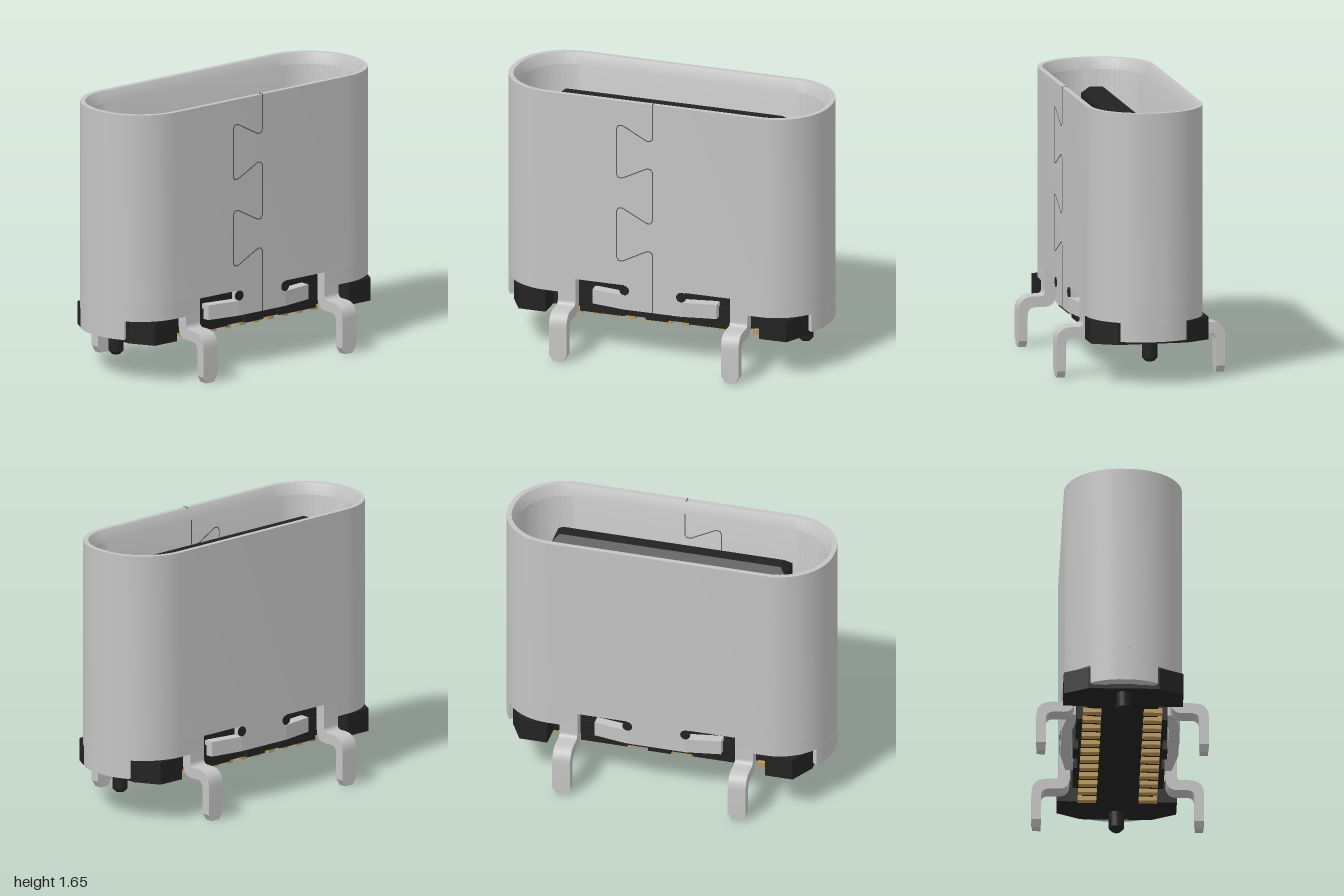
import * as THREE from 'three';
import { toCreasedNormals } from 'three/addons/utils/BufferGeometryUtils.js';

const mat = (name, color) => {
  const m = new THREE.MeshStandardMaterial({ color });
  m.name = name;
  return m;
};

// Point and outward normal on the shell outline, a rounded rectangle in x,z
function outlinePoint(angle) {
  const c = Math.cos(angle), s = Math.sin(angle);
  const sx = Math.abs(c) < 1e-6 ? 0 : Math.sign(c), sz = Math.abs(s) < 1e-6 ? 0 : Math.sign(s);
  return { x: sx * 0.67 + 0.33 * c, z: sz * 0.02 + 0.33 * s, nx: c, nz: s };
}

// Sweeps a section of [inward offset, height] points along an outline
function sweep(path, section, closed) {
  const v = [], n = section.length, count = path.length;
  const at = (i, j) => {
    const p = path[i % count], [d, y] = section[j % n];
    return [p.x - p.nx * d, y, p.z - p.nz * d];
  };
  for (let i = 0; i < (closed ? count : count - 1); i++) {
    for (let j = 0; j < n; j++) {
      const a = at(i, j), b = at(i + 1, j), c = at(i + 1, j + 1), d = at(i, j + 1);
      v.push(...a, ...d, ...c, ...a, ...c, ...b);
    }
  }
  if (!closed) {
    for (let j = 1; j < n - 1; j++) {
      v.push(...at(0, 0), ...at(0, j + 1), ...at(0, j));
      v.push(...at(count - 1, 0), ...at(count - 1, j), ...at(count - 1, j + 1));
    }
  }
  const g = new THREE.BufferGeometry();
  g.setAttribute('position', new THREE.Float32BufferAttribute(v, 3));
  return toCreasedNormals(g, 0.5);
}

// Horizontal slab whose outline is one quadrant mirrored in x and z
function slab(quadrant, y0, y1) {
  const back = [...quadrant].reverse();
  const pts = [
    ...quadrant, ...back.map(([x, z]) => [-x, z]),
    ...quadrant.map(([x, z]) => [-x, -z]), ...back.map(([x, z]) => [x, -z]),
  ].map(([x, z]) => new THREE.Vector2(x, z));
  const g = new THREE.ExtrudeGeometry(new THREE.Shape(pts), { depth: y1 - y0, bevelEnabled: false });
  g.rotateX(-Math.PI / 2).translate(0, y0, 0);
  return toCreasedNormals(g, 0.5);
}

export function createModel() {
  const steel = mat('steel', 0xc4c4c4), plastic = mat('black plastic', 0x222222);
  const gold = mat('gold', 0xbf9a58), dark = mat('seam grey', 0x5a5a5a);
  const model = new THREE.Group();
  model.name = 'connector';
  const add = (name, geo, m, parent = model) => {
    const mesh = new THREE.Mesh(geo, m);
    mesh.name = name;
    parent.add(mesh);
    return mesh;
  };
  const box = (x0, x1, y0, y1, z0, z1) =>
    new THREE.BoxGeometry(x1 - x0, y1 - y0, z1 - z0).translate((x0 + x1) / 2, (y0 + y1) / 2, (z0 + z1) / 2);

  // Shell wall with a chamfered inner lip
  const loop = [];
  for (let q = 0; q < 4; q++) {
    for (let i = 0; i <= 12; i++) {
      const a = (q + Math.min(Math.max(i / 12, 1e-4), 1 - 1e-4)) * Math.PI / 2;
      loop.push(outlinePoint(a));
    }
  }
  add('shellWall', sweep(loop, [[0, 0.475], [0, 1.645], [0.03, 1.645], [0.065, 1.58], [0.065, 0.475]], true), steel);

  // Lower shell at each rounded end, with a tongue reaching further down
  for (const side of [0, Math.PI]) {
    const end = new THREE.Group();
    end.name = side ? 'rightShellEnd' : 'leftShellEnd';
    end.rotation.y = side;
    model.add(end);
    const arc = (half) => Array.from({ length: 25 }, (_, i) => outlinePoint((i / 12 - 1) * half));
    const wide = arc(Math.PI / 2 - 1e-4);
    wide.unshift({ x: 0.595, z: -0.35, nx: 0, nz: -1 });
    wide.push({ x: 0.595, z: 0.35, nx: 0, nz: 1 });
    const band = (y0, y1) => [[0, y0], [0, y1], [0.065, y1], [0.065, y0]];
    add('endBand', sweep(wide, band(0.382, 0.475), false), steel, end);
    add('endSkirt', sweep(arc(0.58), band(0.268, 0.382), false), steel, end);
  }

  // Leg profile in z,y, and its tapered tip
  const profile = new THREE.Shape();
  profile.moveTo(0.285, 0.475);
  profile.lineTo(0.285, 0.31);
  profile.quadraticCurveTo(0.287, 0.242, 0.35, 0.24);
  profile.lineTo(0.41, 0.24);
  profile.quadraticCurveTo(0.455, 0.24, 0.455, 0.19);
  profile.lineTo(0.455, 0.04);
  profile.lineTo(0.512, 0.04);
  profile.lineTo(0.512, 0.21);
  profile.quadraticCurveTo(0.512, 0.305, 0.42, 0.305);
  profile.lineTo(0.375, 0.305);
  profile.quadraticCurveTo(0.35, 0.308, 0.35, 0.335);
  profile.lineTo(0.35, 0.475);
  const legGeo = toCreasedNormals(
    new THREE.ExtrudeGeometry(profile, { depth: 0.11, bevelEnabled: false, curveSegments: 8 })
      .translate(0, 0, -0.055).rotateY(-Math.PI / 2), 0.5);
  const tip = new THREE.Shape([[-0.055, 0.04], [-0.03, 0], [0.03, 0], [0.055, 0.04]].map((p) => new THREE.Vector2(...p)));
  const tipGeo = new THREE.ExtrudeGeometry(tip, { depth: 0.05, bevelEnabled: false }).translate(0, 0, 0.458);

  // Front and back: legs, spring tab and solder contacts
  for (const turn of [0, Math.PI]) {
    const face = new THREE.Group();
    face.name = turn ? 'backFittings' : 'frontFittings';
    face.rotation.y = turn;
    model.add(face);
    for (const s of [-1, 1]) {
      add('leg', legGeo, steel, face).position.x = s * 0.54;
      add('legTip', tipGeo, steel, face).position.x = s * 0.54;
      // Wing of the tab, bent inward towards its free end
      const wing = box(0.18, 0.39, 0.32, 0.41, 0.285, 0.35);
      const p = wing.attributes.position;
      for (let i = 0; i < p.count; i++) if (p.getX(i) > 0.3) p.setZ(i, p.getZ(i) - 0.035);
      wing.computeVertexNormals();
      const w = add('tabWing', s > 0 ? wing : wing.translate(-0.57, 0, 0), steel, face);
      if (s < 0) {
        // Mirror the bend for the other wing
        for (let i = 0; i < p.count; i++) {
          const outer = p.getX(i) < -0.3, rear = p.getZ(i) < 0.3;
          p.setZ(i, (rear ? 0.285 : 0.35) - (outer ? 0.035 : 0));
        }
        const rearFace = [4, 5, 6, 7];
        for (let i = 0; i < p.count; i++) {
          const src = new THREE.BoxGeometry(1, 1, 1).attributes.position;
          p.setZ(i, (src.getZ(i) < 0 ? 0.285 : 0.35) - (src.getX(i) < 0 ? 0.035 : 0));
        }
        w.geometry.computeVertexNormals();
      }
      // Rounded inner end of the slot
      add('slotEnd', new THREE.CylinderGeometry(0.03, 0.03, 0.008, 20).rotateX(Math.PI / 2)
        .translate(s * 0.178, 0.442, 0.348), plastic, face);
    }
    add('tabCentre', box(-0.18, 0.18, 0.32, 0.475, 0.285, 0.35), steel, face);
    for (let i = 0; i < 12; i++) {
      const x = (i - 5.5) * 0.112;
      add('solderContact', box(x - 0.022, x + 0.022, 0.22, 0.25, 0.125, 0.235), gold, face);
      add('tongueContact', box(x - 0.028, x + 0.028, 0.75, 1.4, 0.078, 0.084), gold, face);
    }
  }

  // Dovetail seam through the front wall
  const seam = [[0, 1.646], [0, 1.43], [-0.012, 1.412], [-0.035, 1.41], [-0.19, 1.492], [-0.215, 1.49], [-0.225, 1.47],
    [-0.225, 1.175], [-0.215, 1.157], [-0.19, 1.157], [-0.035, 1.235], [-0.012, 1.232], [0, 1.215],
    [0, 0.91], [-0.012, 0.888], [-0.035, 0.886], [-0.19, 0.966], [-0.215, 0.963], [-0.225, 0.945],
    [-0.225, 0.65], [-0.215, 0.63], [-0.19, 0.628], [-0.035, 0.708], [-0.012, 0.706], [0, 0.69], [0, 0.322]];
  for (let i = 0; i < seam.length - 1; i++) {
    const [x0, y0] = seam[i], [x1, y1] = seam[i + 1];
    const top = i === 0 ? 0.318 : 0.2845;
    if (i === 0) add('seam', box(-0.003, 0.003, 1.43, 1.575, 0.2845, 0.32), dark);
    const g = new THREE.BoxGeometry(Math.hypot(x1 - x0, y1 - y0) + 0.003, 0.006, 0.3515 - top);
    g.rotateZ(Math.atan2(y1 - y0, x1 - x0)).translate((x0 + x1) / 2, (y0 + y1) / 2, (0.3515 + top) / 2);
    add('seam', g, dark);
  }

  // Plastic base with leg notches and corner blocks
  add('base', slab([[0.92, 0.21], [0.84, 0.355], [0.67, 0.355], [0.67, 0.21], [0.485, 0.21],
    [0.485, 0.27], [0.2, 0.27], [0.2, 0.25], [0.07, 0.25], [0.07, 0.28]], 0.245, 0.382), plastic);
  const round = [];
  for (let i = 0; i <= 10; i++) {
    const a = (i / 10) * 1.5;
    round.push([0.66 + 0.262 * Math.cos(a), 0.015 + 0.262 * Math.sin(a)]);
  }
  add('innerHousing', slab([...round, [0.675, 0.21], [0.485, 0.21], [0.485, 0.255], [0.2, 0.255],
    [0.2, 0.25], [0.07, 0.25], [0.07, 0.28]], 0.382, 0.6), plastic);
  add('tongueRoot', slab([[0.74, 0.08], [0.69, 0.13]], 0.6, 0.72), plastic);

  // Tongue with chamfered edges
  const core = new THREE.Shape([[-0.68, -0.04], [0.68, -0.04], [0.68, 0.04], [-0.68, 0.04]].map((p) => new THREE.Vector2(...p)));
  add('tongue', new THREE.ExtrudeGeometry(core, { depth: 0.84, bevelSize: 0.04, bevelThickness: 0.04, bevelSegments: 1 })
    .rotateX(-Math.PI / 2).translate(0, 0.64, 0), plastic);

  // Mid plate edges and locating pegs
  for (const s of [-1, 1]) {
    add('midPlateEdge', box(s * 0.715 - 0.027, s * 0.715 + 0.027, 0.7, 1.4, -0.014, 0.014), gold);
    const peg = new THREE.LatheGeometry([[0, 0.13], [0.025, 0.13], [0.045, 0.15], [0.045, 0.25]]
      .map((p) => new THREE.Vector2(...p)), 24);
    add('locatingPeg', toCreasedNormals(peg, 0.5), plastic).position.x = s * 0.84;
  }
  return model;
}
